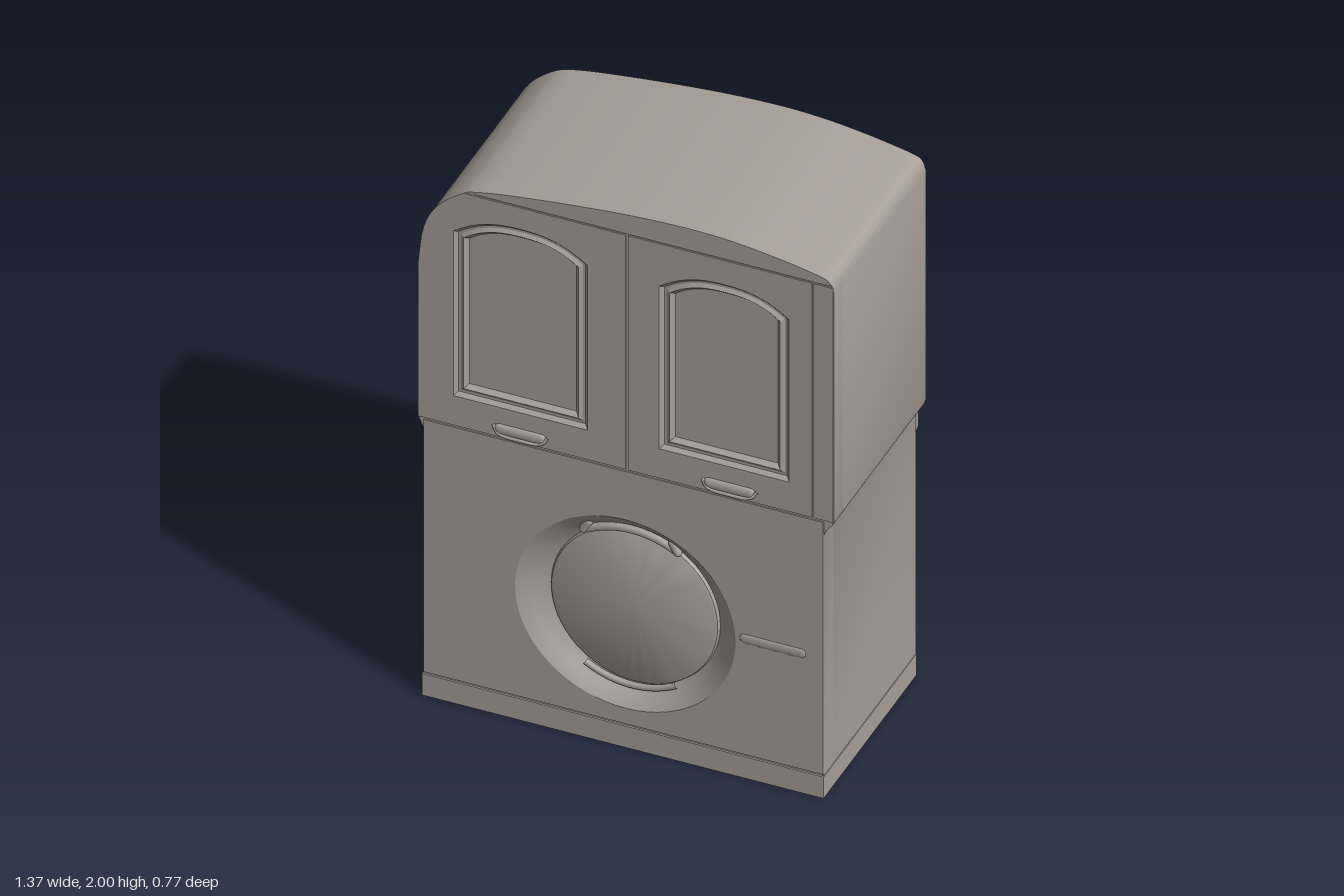
import * as THREE from 'three';
import { toCreasedNormals } from 'three/addons/utils/BufferGeometryUtils.js';

const V2 = (x, y) => new THREE.Vector2(x, y);
const FRONT = 0.365, PANEL = 0.361, BACK = -0.33, CORE = 0.29;

// Arched window outline (counter-clockwise), shrunk by d
function archOutline(cx, half, y0, spring, top) {
  return d => {
    const w = half - d, b = y0 + d, s = spring - d * 0.6, rise = top - spring;
    const pts = [V2(cx - w, b), V2(cx + w, b)];
    for (let i = 0; i <= 20; i++) {
      const t = 1 - i / 10;
      pts.push(V2(cx + w * t, s + rise * (1 - Math.abs(t) ** 2.4) - d * 0.4 * (1 - t * t)));
    }
    return pts;
  };
}

// Round outline for the drum door, shrunk by d
const drumOutline = d => Array.from({ length: 64 }, (_, i) => {
  const a = i / 64 * Math.PI * 2;
  return V2(-0.005 + d * 0.1 + (0.365 - d) * Math.cos(a), 0.5 + (0.352 - d * 0.8) * Math.sin(a));
});

// Joins shrinking outlines at given depths, closed by a fan in the middle
function dish(outline, profile) {
  const loops = profile.map(([d, z]) => outline(d).map(p => [p.x, p.y, z]));
  const n = loops[0].length, pos = loops.flat(2), idx = [];
  const last = loops[loops.length - 1];
  pos.push(...[0, 1, 2].map(k => last.reduce((s, p) => s + p[k], 0) / n));
  for (let r = 0; r < loops.length; r++) {
    for (let i = 0; i < n; i++) {
      const j = (i + 1) % n, a = r * n + i, b = r * n + j;
      if (r === loops.length - 1) idx.push(a, b, loops.length * n);
      else idx.push(a, b, b + n, a, b + n, a + n);
    }
  }
  const g = new THREE.BufferGeometry();
  g.setAttribute('position', new THREE.Float32BufferAttribute(pos, 3));
  g.setIndex(idx);
  return toCreasedNormals(g, 0.5);
}

function slab(points, z0, z1, holes = []) {
  const s = new THREE.Shape(points);
  holes.forEach(h => s.holes.push(new THREE.Path(h)));
  const g = new THREE.ExtrudeGeometry(s, { depth: z1 - z0, bevelEnabled: false });
  g.translate(0, 0, z0);
  return toCreasedNormals(g, 0.5);
}

const rect = (x0, y0, x1, y1) => [V2(x0, y0), V2(x1, y0), V2(x1, y1), V2(x0, y1)];

export function createModel() {
  const group = new THREE.Group();
  const enamel = new THREE.MeshStandardMaterial({ color: 0xa8a099 });
  enamel.name = 'warm grey';
  const add = (name, geo, x = 0, y = 0, z = 0) => {
    const m = new THREE.Mesh(geo, enamel);
    m.name = name;
    m.position.set(x, y, z);
    group.add(m);
    return m;
  };

  // Cabinet silhouette: narrow base, wider top, lopsided domed roof
  const roof = new THREE.SplineCurve([
    V2(0.683, 1.9), V2(0.672, 1.93), V2(0.64, 1.948), V2(0.5, 1.975), V2(0.35, 1.994),
    V2(0.2, 2), V2(0, 1.992), V2(-0.25, 1.968), V2(-0.48, 1.935), V2(-0.57, 1.895),
    V2(-0.64, 1.825), V2(-0.675, 1.74), V2(-0.69, 1.62),
  ]).getPoints(60);
  const outline = [
    V2(-0.675, 0.01), V2(-0.668, 0), V2(0.642, 0), V2(0.65, 0.01), V2(0.65, 0.98),
    V2(0.657, 1), V2(0.678, 1.025), V2(0.683, 1.04), ...roof,
    V2(-0.69, 1.04), V2(-0.688, 1.03), V2(-0.677, 1.005), V2(-0.673, 0.99),
  ];

  const windows = [
    archOutline(-0.352, 0.222, 1.15, 1.765, 1.835),
    archOutline(0.322, 0.215, 1.15, 1.757, 1.825),
  ];
  const holes = [...windows, drumOutline].map(o => o(0));
  add('cabinetCore', slab(outline, BACK, CORE));
  add('cabinetFront', slab(outline, CORE, PANEL, holes));

  // Door and front panels, with narrow seams between them
  const corner = roof.filter(p => p.x < -0.52 && p.y < 1.915);
  const leftDoor = [V2(-0.69, 1.04), V2(-0.004, 1.04), V2(-0.004, 1.915), V2(-0.54, 1.915), ...corner];
  add('rightHandDoor', slab(leftDoor, PANEL, FRONT, [holes[0]]));
  add('leftHandDoor', slab(rect(0.004, 1.04, 0.612, 1.915), PANEL, FRONT, [holes[1]]));
  add('doorPost', slab(rect(0.618, 1.04, 0.682, 1.915), PANEL, FRONT));
  add('lowerPanel', slab(rect(-0.673, 0.09, 0.65, 1.032), PANEL, FRONT, [holes[2]]));
  add('roofFascia', slab([...roof.filter(p => p.y > 1.922), V2(-0.5, 1.921), V2(0.67, 1.921)], PANEL, FRONT));

  // Plinth
  add('plinth', new THREE.BoxGeometry(1.329, 0.08, FRONT - BACK + 0.004), -0.0125, 0.043, (FRONT + BACK) / 2);

  // Moulded, sunken window panels
  windows.forEach(o => add('windowPanel', dish(o, [
    [0, FRONT], [0.012, 0.352], [0.02, 0.352], [0.032, 0.36], [0.045, 0.345], [0.05, 0.345],
  ])));

  // Sunken drum door
  add('drumDoor', dish(drumOutline, [
    [0, FRONT], [0.012, 0.358], [0.045, 0.335], [0.075, 0.31], [0.085, 0.305], [0.09, 0.316], [0.1, 0.32],
  ]));

  // Grip at the top of the drum door and lip at the bottom
  const arc = (name, r, tube, from, to) => {
    const g = new THREE.TorusGeometry(r, tube, 8, 28, to - from);
    g.rotateZ(from);
    return add(name, g, 0, 0.5, 0.325);
  };
  arc('drumGrip', 0.292, 0.014, 1.05, 2.1);
  arc('drumLip', 0.289, 0.011, 4.15, 5.25);
  [-0.15, 0.145].forEach((x, i) => {
    const lug = add('gripLug', new THREE.CapsuleGeometry(0.014, 0.035, 4, 10), x, 0.768, 0.33);
    lug.rotation.z = i ? 0.5 : -0.5;
  });

  // Curved bar along a path
  const bar = (pts, r) => new THREE.TubeGeometry(
    new THREE.CatmullRomCurve3(pts.map(p => new THREE.Vector3(...p))), 36, r, 8);

  // Door handles: small cup with a curved lip
  [-0.352, 0.34].forEach(x => {
    const cup = new THREE.CapsuleGeometry(0.02, 0.135, 6, 14);
    cup.rotateZ(Math.PI / 2);
    cup.scale(1, 1, 0.55);
    add('doorHandle', cup, x, 1.07, FRONT);
    add('doorHandleLip', bar([[-0.09, 0.012, 0], [-0.07, -0.012, 0.007],
      [0, -0.018, 0.009], [0.07, -0.012, 0.007], [0.09, 0.012, 0]], 0.006), x, 1.07, FRONT);
  });

  // Slim rail beside the drum door
  const rail = new THREE.CapsuleGeometry(0.017, 0.185, 6, 12);
  rail.rotateZ(Math.PI / 2);
  rail.scale(1, 1, 0.3);
  add('sideRail', rail, 0.482, 0.522, FRONT);

  // Carrying handle on the back with two end plates
  add('backHandle', bar([
    [0.14, 0.955, -0.366], [0.175, 0.955, -0.358], [0.2, 0.953, -0.345], [0.235, 0.945, -0.366],
    [0.3, 0.93, -0.374], [0.38, 0.925, -0.376], [0.46, 0.93, -0.374], [0.525, 0.945, -0.366],
    [0.56, 0.953, -0.345], [0.585, 0.955, -0.358], [0.61, 0.955, -0.366],
  ], 0.011));
  [[0.14, 0.19], [0.608, 0.565]].forEach(([x, foot]) => {
    const plate = new THREE.CapsuleGeometry(0.034, 0.085, 6, 12);
    plate.scale(1, 1, 0.28);
    add('handlePlate', plate, x, 0.952, -0.368);
    add('handleFoot', new THREE.BoxGeometry(0.045, 0.05, 0.022), foot, 0.953, -0.337);
  });

  return group;
}
